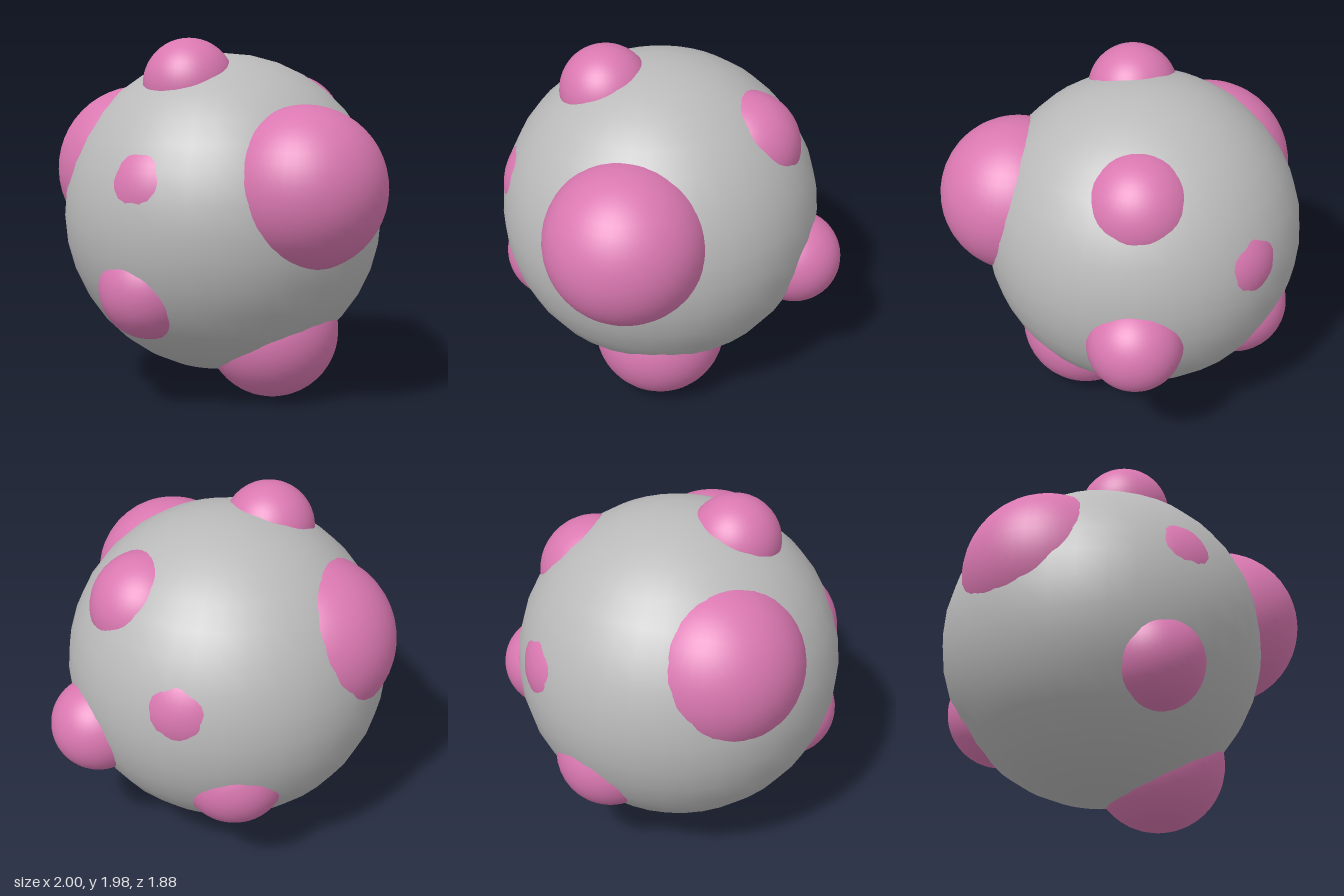
import * as THREE from 'three';

export function createModel() {
  const group = new THREE.Group();
  const grey = new THREE.MeshStandardMaterial({ color: 0xbababa });
  grey.name = 'grey';
  const pink = new THREE.MeshStandardMaterial({ color: 0xda78b1 });
  pink.name = 'pink';

  const ball = (name, radius, position, material, segments) => {
    const geometry = new THREE.SphereGeometry(radius, segments, segments / 2);
    const mesh = new THREE.Mesh(geometry, material);
    mesh.name = name;
    mesh.position.copy(position);
    group.add(mesh);
    return mesh;
  };

  // Large round body
  const center = new THREE.Vector3(-0.09, 1.005, 0.05);
  ball('body', 0.887, center, grey, 36);

  // Bumps sunk into the body: name, direction from its centre, distance, radius
  const bumps = [
    ['leftBump', [0.655, 0.2, 0.24], 0.726, 0.435],
    ['rightBump', [-0.837, 0.44, 0.32], 0.53, 0.467],
    ['topBump', [-0.035, 0.725, 0.29], 0.78, 0.25],
    ['frontSpot', [0, 0.3, 0.954], 0.55, 0.35],
    ['lowerFrontBump', [-0.105, -0.48, 0.87], 0.7, 0.277],
    ['bottomBump', [0.47, -0.88, 0.05], 0.72, 0.368],
    ['backBump', [0.29, -0.215, -0.73], 0.814, 0.26],
    ['upperBackBump', [0.265, 0.688, -0.676], 0.658, 0.305],
    ['backSpot', [-0.358, 0.183, -0.788], 0.574, 0.33],
    ['lowerBackBump', [-0.527, -0.445, -0.506], 0.67, 0.295],
  ];
  for (const [name, direction, distance, radius] of bumps) {
    const position = new THREE.Vector3(...direction).setLength(distance).add(center);
    ball(name, radius, position, pink, 48);
  }
  return group;
}
